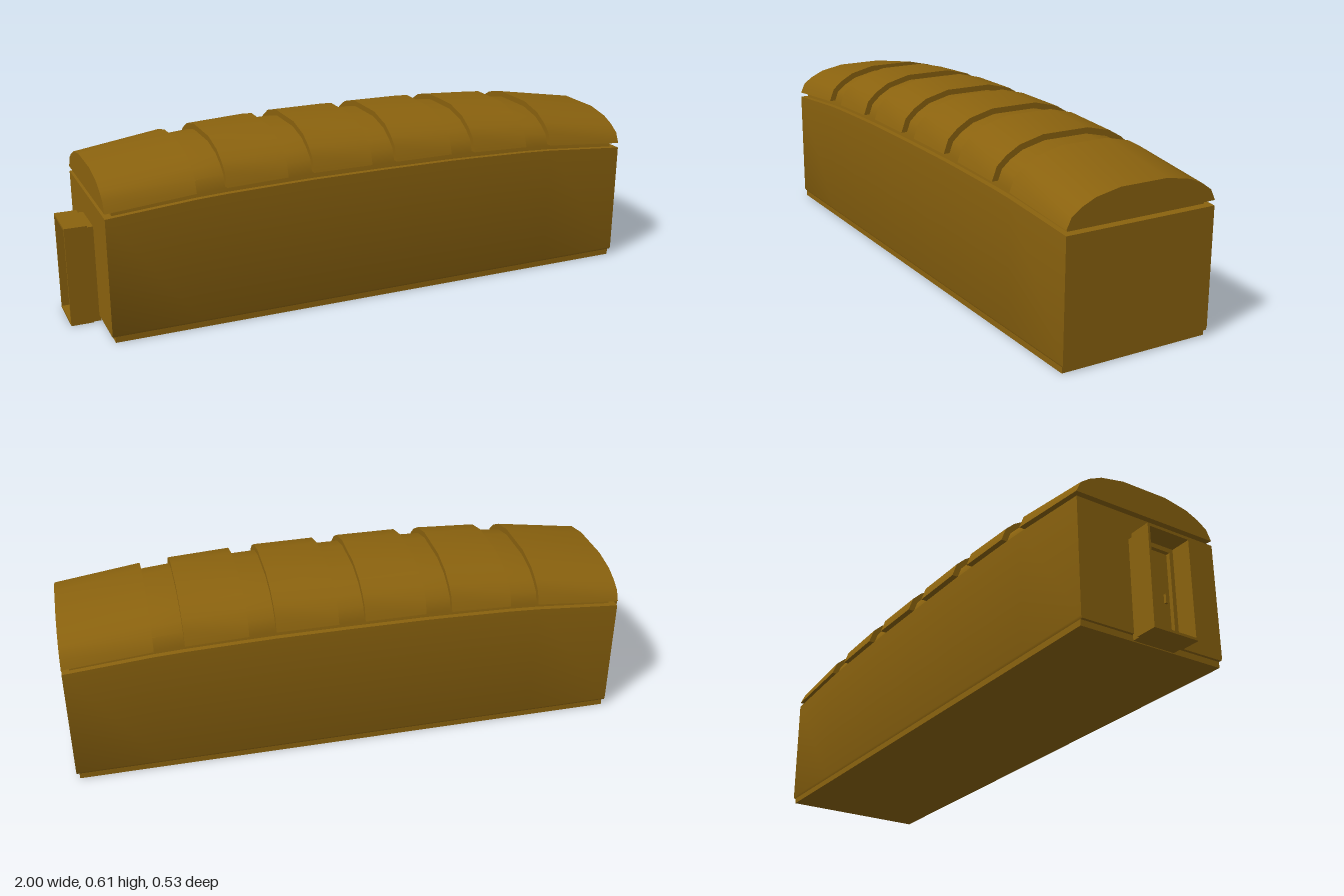
import * as THREE from 'three';
import { toCreasedNormals } from 'three/addons/utils/BufferGeometryUtils.js';

const material = new THREE.MeshStandardMaterial({ color: 0x8a620e, side: THREE.DoubleSide });
const MID = 0.045; // lengthwise centre of the hall

// Crown, roof hem and wall-top heights by distance from the middle of the hall
const STATIONS = [0, 0.255, 0.345, 0.555, 0.655, 0.95];
const CROWN = [0.61, 0.608, 0.605, 0.592, 0.582, 0.534];
const HEM = [0.48, 0.48, 0.476, 0.469, 0.463, 0.437];
const WALL = [0.458, 0.457, 0.455, 0.449, 0.444, 0.42];

function heightAt(table, x) {
  const d = Math.min(Math.abs(x - MID), 0.95);
  let i = 0;
  while (i < STATIONS.length - 2 && d > STATIONS[i + 1]) i++;
  const t = (d - STATIONS[i]) / (STATIONS[i + 1] - STATIONS[i]);
  return THREE.MathUtils.lerp(table[i], table[i + 1], t);
}

// Skin convex [z, y] sections along x and close both ends
function loft(xs, section) {
  const rings = xs.map(section);
  const n = rings[0].length;
  const positions = [], index = [];
  rings.forEach((ring, k) => ring.forEach(([z, y]) => positions.push(xs[k], y, z)));
  for (let k = 0; k < xs.length - 1; k++) {
    for (let i = 0; i < n; i++) {
      const a = k * n + i, b = k * n + (i + 1) % n;
      index.push(a, b, b + n, a, b + n, a + n);
    }
  }
  const last = (xs.length - 1) * n;
  for (let i = 1; i < n - 1; i++) {
    index.push(0, i + 1, i);
    index.push(last, last + i, last + i + 1);
  }
  const geometry = new THREE.BufferGeometry();
  geometry.setAttribute('position', new THREE.Float32BufferAttribute(positions, 3));
  geometry.setIndex(index);
  return toCreasedNormals(geometry.toNonIndexed(), 0.6);
}

// Mirror a half section that climbs the -z side
const mirrored = (half) => [...half, ...half.slice().reverse().map(([z, y]) => [-z, y])];

// Faceted arch from hem to crown
function arch(width, hem, crown) {
  const steps = [[1, 0], [0.936, 0.37], [0.811, 0.61], [0.634, 0.83], [0.313, 1]];
  return mirrored(steps.map(([w, h]) => [-w * width, hem + h * (crown - hem)]));
}

// Rectangular tunnel along x with an opening
function frame(x0, x1, halfWidth, height, wall) {
  const rect = (path, w, y0, y1) =>
    path.moveTo(-w, y0).lineTo(w, y0).lineTo(w, y1).lineTo(-w, y1).closePath();
  const shape = rect(new THREE.Shape(), halfWidth, 0, height);
  shape.holes.push(rect(new THREE.Path(), halfWidth - wall, wall, height - wall));
  const geometry = new THREE.ExtrudeGeometry(shape, { depth: x1 - x0, bevelEnabled: false });
  return geometry.rotateY(Math.PI / 2).translate(x0, 0, 0);
}

export function createModel() {
  const model = new THREE.Group();
  const add = (name, geometry, x = 0, y = 0, z = 0, parent = model) => {
    const mesh = new THREE.Mesh(geometry, material);
    mesh.name = name;
    mesh.position.set(x, y, z);
    parent.add(mesh);
    return mesh;
  };

  // Base plinth
  add('basePlinth', new THREE.BoxGeometry(1.88, 0.024, 0.522), MID, 0.012, 0);

  // Walls with a gently arched top edge and a chamfered foot
  const stations = [...STATIONS.slice(1).reverse().map((d) => MID - d), ...STATIONS.map((d) => MID + d)];
  add('walls', loft(stations, (x) =>
    mirrored([[-0.261, 0.02], [-0.265, 0.028], [-0.265, heightAt(WALL, x)]])));

  // Recessed inner vault that shows in the grooves and under the roof hem
  const inner = stations.map((x) => MID + (x - MID) * 0.974);
  add('innerVault', loft(inner, (x) => {
    const hem = heightAt(HEM, x) - 0.006;
    const section = arch(0.246, hem, heightAt(CROWN, x) - 0.019);
    return [[-0.246, 0.36], ...section, [0.246, 0.36]];
  }));

  // Raised roof panels separated by grooves
  const roof = new THREE.Group();
  roof.name = 'roofPanels';
  model.add(roof);
  const panels = [[-0.95, -0.655], [-0.555, -0.345], [-0.255, -0.045]];
  for (const [a, b] of [...panels, ...panels.map(([a, b]) => [-b, -a])]) {
    add('roofPanel', loft([MID + a, MID + b], (x) =>
      arch(0.265, heightAt(HEM, x), heightAt(CROWN, x))), 0, 0, 0, roof);
  }

  // Entrance: narrow collar, wider open porch and a recessed door
  const entrance = new THREE.Group();
  entrance.name = 'entrance';
  model.add(entrance);
  add('entranceCollar', frame(-0.93, -0.9, 0.076, 0.333, 0.016), 0, 0, 0, entrance);
  add('entrancePorch', frame(-1, -0.926, 0.082, 0.34, 0.008), 0, 0, 0, entrance);
  add('door', new THREE.BoxGeometry(0.012, 0.31, 0.124), -0.91, 0.165, 0, entrance);
  add('doorHandle', new THREE.BoxGeometry(0.01, 0.03, 0.008), -0.92, 0.16, 0.042, entrance);

  return model;
}
